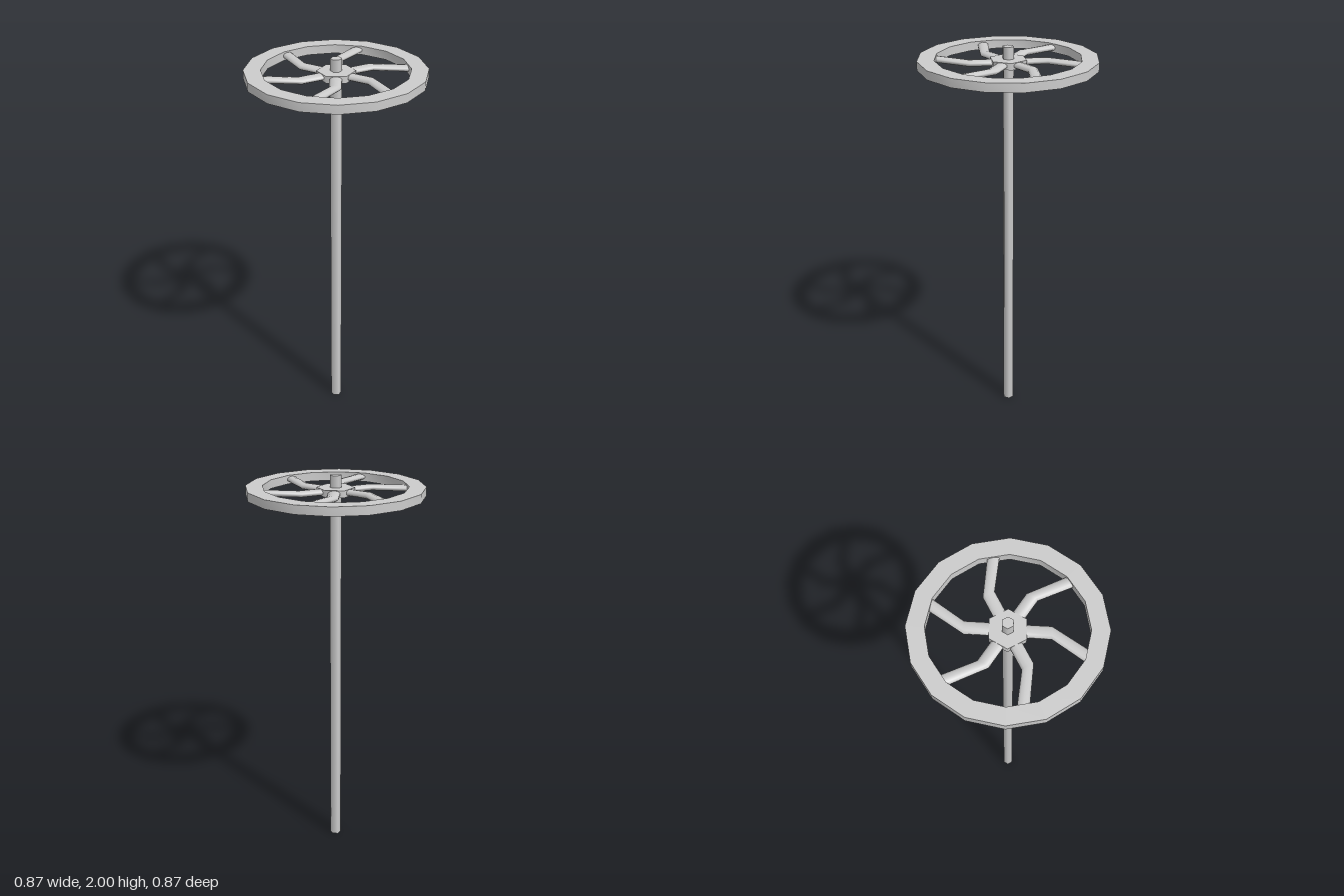
import * as THREE from 'three';
import { mergeVertices, toCreasedNormals } from 'three/addons/utils/BufferGeometryUtils.js';

const material = new THREE.MeshStandardMaterial({ color: 0xcccccc });

function part(name, geometry) {
  const mesh = new THREE.Mesh(geometry, material);
  mesh.name = name;
  return mesh;
}

// Six-sided upright prism with corners on the x axis
function hexPrism(radius, bottom, top) {
  const g = new THREE.CylinderGeometry(radius, radius, top - bottom, 6, 1, false, Math.PI / 2);
  return g.translate(0, (top + bottom) / 2, 0);
}

// Flat oval bar with one bend, running from the hub to the rim towards -z
function spokeGeometry() {
  const rows = [
    { x: 0.003, z: -0.05, dx: 0.03, dz: 0 },
    { x: 0.008, z: -0.187, dx: 0.03, dz: 0 },
    { x: 0.128, z: -0.36, dx: 0.023, dz: 0.016 },
  ];
  let g = new THREE.CylinderGeometry(1, 1, 2, 10, 2, true).rotateX(-Math.PI / 2);
  const p = g.attributes.position;
  for (let i = 0; i < p.count; i++) {
    const row = rows[Math.round(1 - p.getZ(i))];
    const side = p.getX(i);
    p.setXYZ(i, row.x + side * row.dx, 1.925 + p.getY(i) * 0.015, row.z + side * row.dz);
  }
  g.deleteAttribute('normal');
  g.deleteAttribute('uv');
  g = mergeVertices(g);
  g.computeVertexNormals();
  return g;
}

export function createModel() {
  const model = new THREE.Group();
  model.name = 'handwheel';

  // Long shaft through the wheel
  model.add(part('shaft', hexPrism(0.028, 0, 2)));
  model.add(part('hub', hexPrism(0.093, 1.908, 1.941)));

  // Sixteen-sided rim with a rectangular section
  const section = [[0.353, 1.903], [0.435, 1.903], [0.435, 1.946], [0.353, 1.946], [0.353, 1.903]]
    .map(([r, y]) => new THREE.Vector2(r, y));
  model.add(part('rim', toCreasedNormals(new THREE.LatheGeometry(section, 16), Math.PI / 6)));

  // Six bent spokes
  const spoke = spokeGeometry();
  const spokes = new THREE.Group();
  spokes.name = 'spokes';
  for (let i = 0; i < 6; i++) {
    const mesh = part('spoke', spoke);
    mesh.rotation.y = (i * Math.PI) / 3;
    spokes.add(mesh);
  }
  model.add(spokes);
  return model;
}
